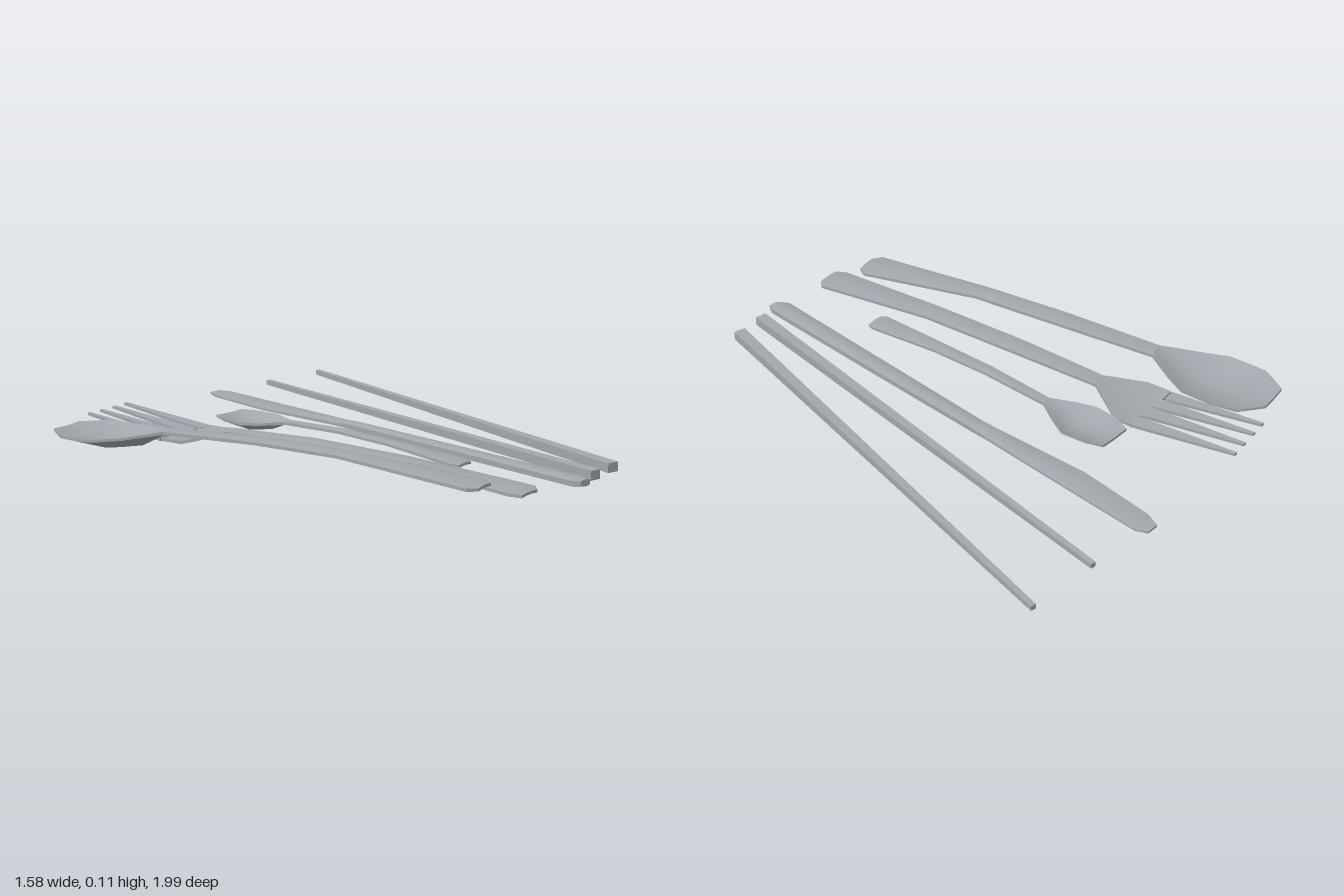
import * as THREE from 'three';
import { toCreasedNormals } from 'three/addons/utils/BufferGeometryUtils.js';

// Lofts a slab from back to front. Each station is
// [leftX, leftZ, rightX, rightZ, edgeY, dip, thickness]; dip lowers the middle.
// under scales the dip on the lower surface (-1 makes a lens-shaped section).
function slab(stations, profile = [0, 0.75, 1, 0.75, 0], under = 1) {
  const n = profile.length, m = n * 2;
  const pos = [], index = [];
  const point = (s, k, side) => {
    const u = k / (n - 1);
    const dip = s[5] * profile[k] * (side > 0 ? 1 : under);
    pos.push(s[0] + (s[2] - s[0]) * u, s[4] - dip + side * s[6] / 2, s[1] + (s[3] - s[1]) * u);
  };
  for (const s of stations) {
    for (let k = 0; k < n; k++) point(s, k, 1);
    for (let k = n - 1; k >= 0; k--) point(s, k, -1);
  }
  for (let i = 0; i < stations.length - 1; i++) {
    for (let j = 0; j < m; j++) {
      const a = i * m + j, b = i * m + (j + 1) % m;
      index.push(a, a + m, b, b, a + m, b + m);
    }
  }
  // end caps
  const e = (stations.length - 1) * m;
  for (let k = 0; k < n - 1; k++) {
    const [a, b, c, d] = [k, k + 1, m - 2 - k, m - 1 - k];
    index.push(a, b, c, a, c, d, e + a, e + c, e + b, e + a, e + d, e + c);
  }
  const g = new THREE.BufferGeometry();
  g.setAttribute('position', new THREE.Float32BufferAttribute(pos, 3));
  g.setIndex(index);
  return toCreasedNormals(g, 0.7);
}

export function createModel() {
  const model = new THREE.Group();
  const steel = new THREE.MeshStandardMaterial({ color: 0xa3a6ac });
  steel.name = 'steel';

  const group = (name) => {
    const g = new THREE.Group();
    g.name = name;
    model.add(g);
    return g;
  };
  const add = (parent, name, geometry) => {
    const mesh = new THREE.Mesh(geometry, steel);
    mesh.name = name;
    parent.add(mesh);
  };

  // Large spoon
  const spoon = group('tableSpoon');
  add(spoon, 'spoonBowl', slab([
    [-0.735, -0.88, -0.60, -0.90, 0.045, 0.004, 0.01],
    [-0.79, -0.77, -0.51, -0.835, 0.045, 0.025, 0.01],
    [-0.782, -0.69, -0.48, -0.74, 0.046, 0.036, 0.01],
    [-0.77, -0.62, -0.465, -0.61, 0.05, 0.044, 0.01],
    [-0.70, -0.52, -0.495, -0.52, 0.062, 0.036, 0.01],
    [-0.60, -0.40, -0.53, -0.42, 0.088, 0, 0.012],
  ]));
  add(spoon, 'spoonHandle', slab([
    [-0.60, -0.40, -0.53, -0.42, 0.088, 0, 0.012],
    [-0.515, 0, -0.425, 0, 0.104, -0.006, 0.012],
    [-0.445, 0.34, -0.36, 0.34, 0.104, -0.006, 0.012],
    [-0.36, 0.86, -0.22, 0.83, 0.068, -0.005, 0.012],
    [-0.325, 0.885, -0.24, 0.87, 0.066, -0.004, 0.01],
  ]));

  // Fork
  const fork = group('fork');
  add(fork, 'forkHead', slab([
    [-0.474, -0.56, -0.208, -0.575, 0.014, 0.004, 0.012],
    [-0.46, -0.46, -0.20, -0.505, 0.016, 0.008, 0.012],
    [-0.34, -0.335, -0.275, -0.35, 0.052, 0, 0.012],
  ]));
  add(fork, 'forkHandle', slab([
    [-0.34, -0.335, -0.275, -0.35, 0.052, 0, 0.012],
    [-0.30, 0.02, -0.215, 0.01, 0.066, -0.006, 0.012],
    [-0.255, 0.43, -0.165, 0.43, 0.064, -0.006, 0.012],
    [-0.215, 0.92, -0.075, 0.93, 0.034, -0.005, 0.012],
    [-0.195, 0.967, -0.10, 0.96, 0.031, -0.004, 0.01],
  ]));
  // [base left, base right, tip x, tip z]
  const tines = [
    [-0.474, -0.42, -0.497, -0.96], [-0.41, -0.353, -0.43, -0.97],
    [-0.345, -0.283, -0.357, -0.98], [-0.268, -0.208, -0.289, -0.99],
  ];
  for (const [l, r, x, z] of tines) {
    add(fork, 'forkTine', slab([
      [x - 0.007, z, x + 0.007, z, 0.052, 0, 0.01],
      [l, -0.565, r, -0.57, 0.013, 0, 0.014],
    ], [0, 0]));
  }

  // Small spoon
  const teaSpoon = group('teaSpoon');
  add(teaSpoon, 'teaSpoonBowl', slab([
    [-0.15, -0.6, -0.015, -0.6, 0.042, 0.003, 0.01],
    [-0.175, -0.535, 0.01, -0.535, 0.042, 0.026, 0.01],
    [-0.18, -0.435, 0.025, -0.435, 0.042, 0.035, 0.01],
    [-0.145, -0.36, -0.01, -0.36, 0.046, 0.024, 0.01],
    [-0.09, -0.28, -0.05, -0.285, 0.055, 0, 0.012],
  ]));
  add(teaSpoon, 'teaSpoonHandle', slab([
    [-0.09, -0.28, -0.05, -0.285, 0.055, 0, 0.012],
    [-0.085, 0, -0.035, 0, 0.067, -0.004, 0.01],
    [-0.08, 0.25, -0.02, 0.25, 0.062, -0.004, 0.01],
    [-0.085, 0.56, 0.01, 0.555, 0.043, -0.004, 0.01],
    [-0.068, 0.585, 0, 0.58, 0.041, -0.003, 0.01],
  ]));

  // Knife
  const knife = group('knife');
  add(knife, 'knifeBlade', slab([
    [0.18, -1, 0.23, -1, 0.016, 0, 0.008],
    [0.155, -0.94, 0.25, -0.955, 0.016, -0.003, 0.008],
    [0.125, -0.63, 0.235, -0.63, 0.017, -0.005, 0.008],
    [0.145, -0.23, 0.213, -0.23, 0.018, -0.006, 0.012],
    [0.15, -0.17, 0.21, -0.17, 0.018, -0.006, 0.018],
  ], undefined, -1));
  add(knife, 'knifeHandle', slab([
    [0.15, -0.17, 0.21, -0.17, 0.018, -0.006, 0.018],
    [0.12, 0.4, 0.19, 0.4, 0.018, -0.007, 0.02],
    [0.09, 0.945, 0.168, 0.965, 0.018, -0.007, 0.02],
    [0.11, 0.985, 0.155, 0.993, 0.018, -0.005, 0.016],
  ], undefined, -1));

  // Pair of tapered square chopsticks: [back x, back z, front x, front z]
  const sticks = group('chopsticks');
  for (const [bx, bz, fx, fz] of [[0.488, -0.968, 0.238, 0.955], [0.78, -0.955, 0.364, 0.94]]) {
    const slope = (bx - fx) / (fz - bz);
    add(sticks, 'chopstick', slab([
      [bx - 0.01, bz - 0.01 * slope, bx + 0.01, bz + 0.01 * slope, 0.018, 0, 0.02],
      [fx - 0.023, fz - 0.023 * slope, fx + 0.023, fz + 0.023 * slope, 0.019, 0, 0.036],
    ], [0, 0]));
  }

  return model;
}
